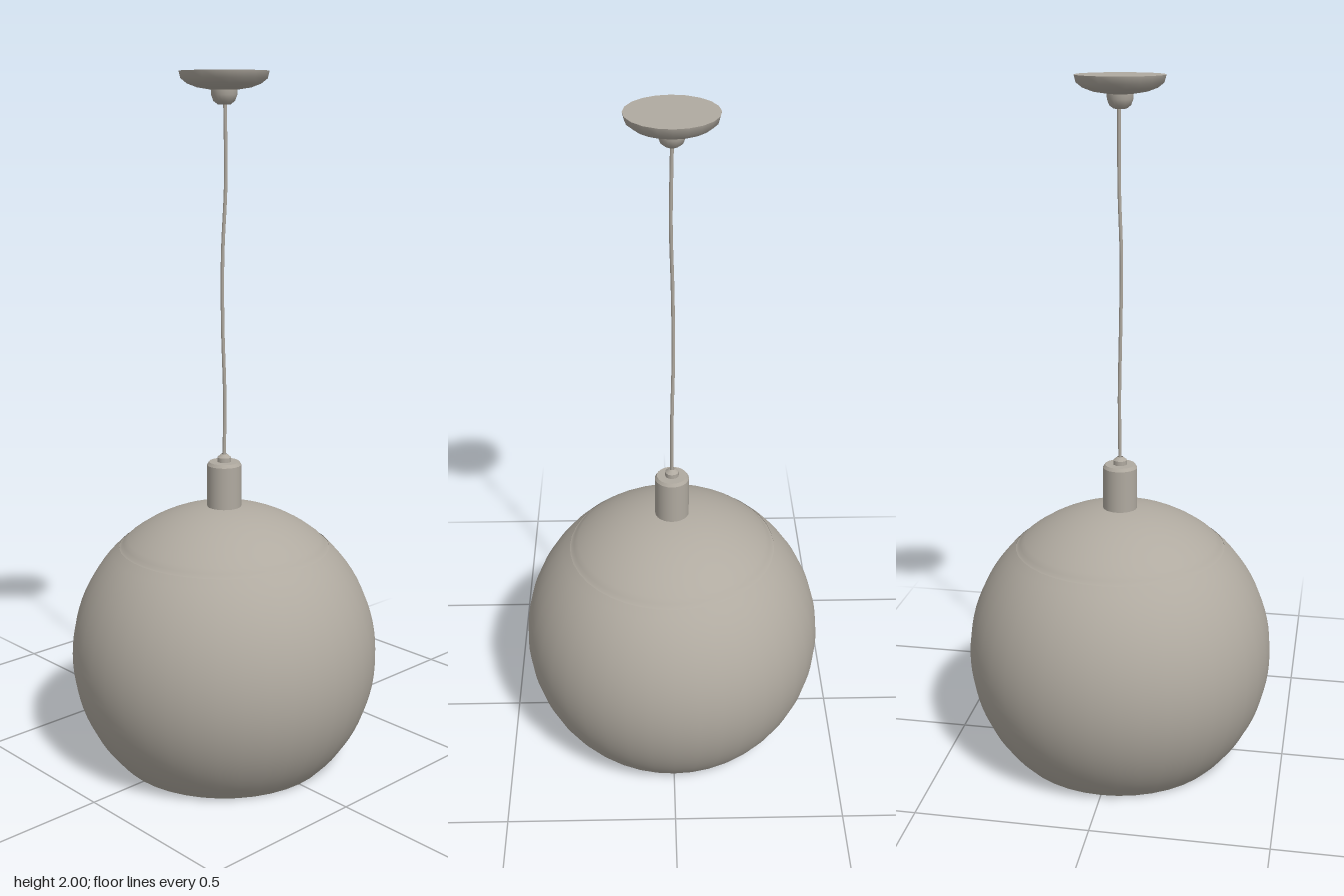
import * as THREE from 'three';

const metal = new THREE.MeshStandardMaterial({ color: 0xb0aaa0, side: THREE.DoubleSide });
metal.name = 'warm grey';

const CENTRE = 0.32, RADIUS = 0.452;

// Each run is a smooth profile from bottom to top; edges between runs stay sharp.
function turned(name, sides, runs) {
  const group = new THREE.Group();
  group.name = name;
  runs.forEach((run, i) => {
    const points = run.map(([r, y]) => new THREE.Vector2(r, y));
    const mesh = new THREE.Mesh(new THREE.LatheGeometry(points, sides), metal);
    mesh.name = `${name}Surface${i + 1}`;
    group.add(mesh);
  });
  return group;
}

// Profile of a sphere between two heights
function arc(radius, y0, y1, steps) {
  const a0 = Math.asin((y0 - CENTRE) / radius), a1 = Math.asin(Math.min(1, (y1 - CENTRE) / radius));
  return Array.from({ length: steps + 1 }, (_, i) => {
    const a = a0 + (a1 - a0) * i / steps;
    return [radius * Math.cos(a), CENTRE + radius * Math.sin(a)];
  });
}

export function createModel() {
  const lamp = new THREE.Group();
  lamp.name = 'pendantLamp';

  // Globe shade, open underneath
  lamp.add(turned('shade', 40, [arc(RADIUS, 0, 0.65, 24)]));

  // Domed cap with a rolled edge sitting in the shade's upper opening
  lamp.add(turned('shadeCap', 40, [
    [[0.309, 0.648], [0.302, 0.652], [0.296, 0.66], ...arc(RADIUS, 0.672, CENTRE + RADIUS, 10)],
  ]));

  // Lamp holder
  lamp.add(turned('socket', 24, [
    [[0.05, 0.75], [0.05, 0.893]],
    [[0.05, 0.893], [0.044, 0.902]],
    [[0.044, 0.902], [0, 0.902]],
  ]));

  // Cord grip
  lamp.add(turned('cordGrip', 12, [
    [[0.02, 0.9], [0.02, 0.915]],
    [[0.02, 0.915], [0.008, 0.925]],
  ]));

  // Slightly wavy hanging cord
  const path = new THREE.CatmullRomCurve3([
    [0, 0.9, 0], [0, 1.1, -0.002], [-0.004, 1.3, 0.002], [-0.002, 1.5, 0.004],
    [0.003, 1.7, -0.003], [0, 1.92, -0.003],
  ].map((p) => new THREE.Vector3(...p)));
  const cord = new THREE.Mesh(new THREE.TubeGeometry(path, 30, 0.005, 8), metal);
  cord.name = 'cord';
  lamp.add(cord);

  // Ceiling canopy
  lamp.add(turned('canopy', 20, [
    [[0, 1.91], [0.018, 1.911], [0.03, 1.92], [0.036, 1.936], [0.037, 1.95]],
    [[0.037, 1.95], [0.075, 1.956], [0.102, 1.966], [0.12, 1.98], [0.125, 2]],
    [[0.125, 2], [0, 2]],
  ]));

  return lamp;
}
